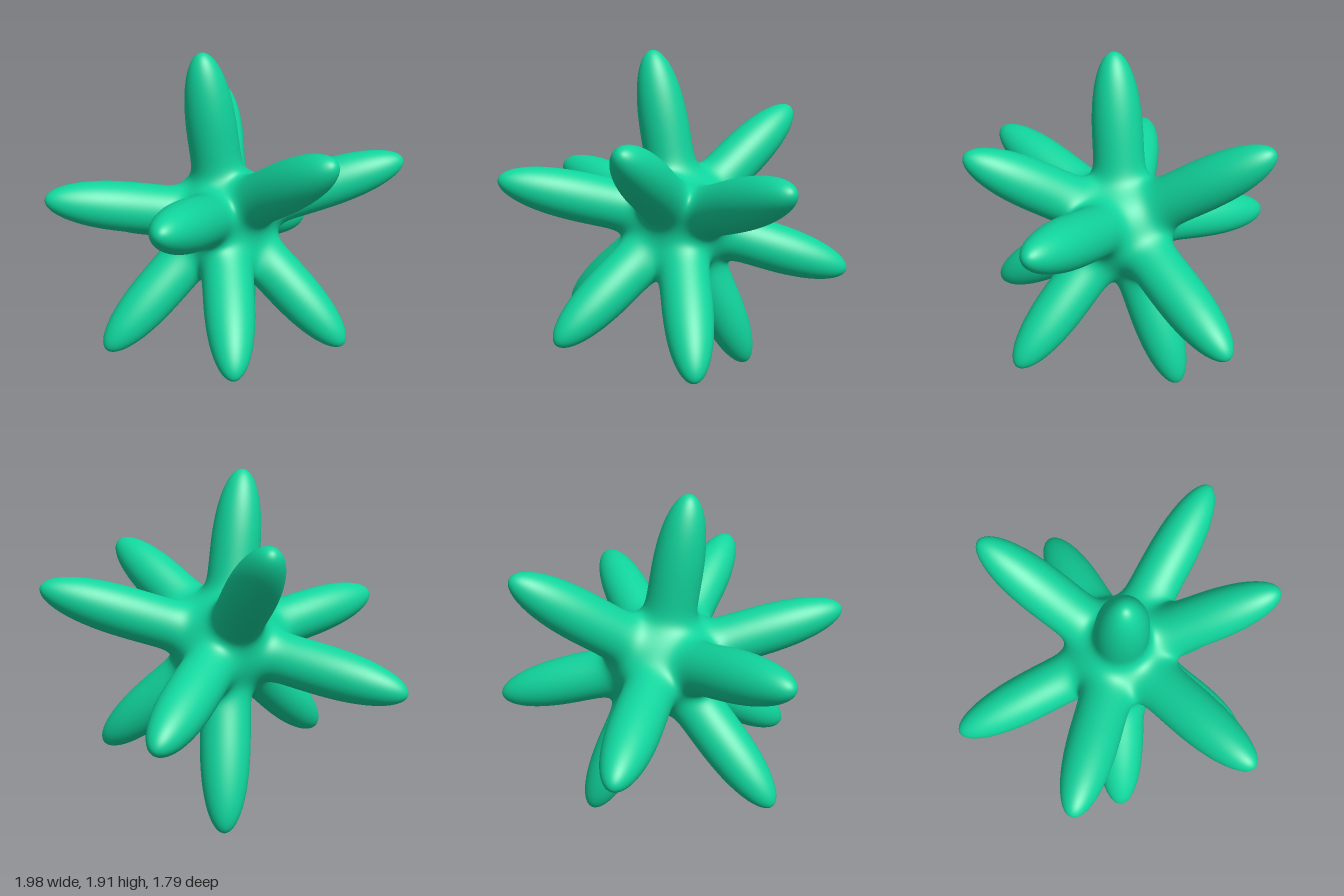
import * as THREE from 'three';

const CENTRE = new THREE.Vector3(-0.02, 0.97, -0.07);
const BODY_RADIUS = 0.27, ARM_RADIUS = 0.14, BLEND = 0.04;
const RINGS = 34, SIDES = 72;

// Tip position of each arm
const TIPS = [
  [-0.14, 1.92, 0.04], [0.10, 0.01, -0.49],                        // top, bottom
  [0.99, 1.31, -0.02], [-0.99, 1.17, 0.18],                        // sides
  [-0.35, 1.25, 0.89], [0.49, 1.48, 0.61], [0.0, 0.38, 0.75],      // front
  [0.65, 0.30, 0.29], [-0.70, 0.30, 0.29],                         // lower front corners
  [-0.02, 1.56, -0.89], [0.53, 0.66, -0.88], [-0.84, 0.77, -0.68], // back
];

const arms = TIPS.map((t) => {
  const dir = new THREE.Vector3(...t).sub(CENTRE);
  const length = dir.length();
  return { dir: dir.normalize(), length };
});

// Smooth union of a round core and one long ellipsoid per arm (negative inside)
function field(p) {
  const r2 = p.lengthSq();
  let sum = Math.exp((BODY_RADIUS - Math.sqrt(r2)) / BLEND);
  for (const { dir, length } of arms) {
    const u = p.dot(dir), w2 = Math.max(0, r2 - u * u), half = length / 2;
    const g = Math.sqrt(Math.abs((u - half) / half) ** 2.3 + w2 / ARM_RADIUS ** 2);
    sum += Math.exp((1 - g) * ARM_RADIUS / BLEND);
  }
  return -BLEND * Math.log(sum);
}

// Where a ray from the centre leaves the surface
function surfacePoint(dir) {
  let lo = 0.1, hi = 1.25;
  const p = new THREE.Vector3();
  for (let i = 0; i < 24; i++) {
    const mid = (lo + hi) / 2;
    if (field(p.copy(dir).multiplyScalar(mid)) < 0) lo = mid; else hi = mid;
  }
  return p.copy(dir).multiplyScalar((lo + hi) / 2);
}

function surfaceNormal(p) {
  const h = 0.002;
  const slope = (x, y, z) =>
    field(new THREE.Vector3(p.x + x, p.y + y, p.z + z)) - field(new THREE.Vector3(p.x - x, p.y - y, p.z - z));
  return new THREE.Vector3(slope(h, 0, 0), slope(0, h, 0), slope(0, 0, h)).normalize();
}

// One arm with its share of the core, in rings from the tip down to the valleys
function armGeometry(arm) {
  const a = arm.dir;
  const ex = new THREE.Vector3(0, 1, 0);
  if (Math.abs(a.y) > 0.8) ex.set(1, 0, 0);
  ex.addScaledVector(a, -ex.dot(a)).normalize();
  const ey = new THREE.Vector3().crossVectors(a, ex);
  const positions = [], normals = [], index = [];

  // Angle to the valley shared with the nearest neighbour, for each side
  const sides = [];
  for (let j = 0; j <= SIDES; j++) {
    const phi = (j % SIDES) / SIDES * Math.PI * 2;
    const e = ex.clone().multiplyScalar(Math.cos(phi)).addScaledVector(ey, Math.sin(phi));
    let limit = 1.2;
    for (const other of arms) {
      const side = e.dot(other.dir);
      if (other !== arm && side > 0.01) limit = Math.min(limit, Math.atan2(1 - a.dot(other.dir), side));
    }
    sides.push({ e, limit: limit * 1.04 });
  }

  for (let i = 0; i <= RINGS; i++) {
    for (let j = 0; j <= SIDES; j++) {
      const { e, limit } = sides[j];
      const theta = limit * (i / RINGS) ** 1.5;
      const dir = a.clone().multiplyScalar(Math.cos(theta)).addScaledVector(e, Math.sin(theta));
      const p = surfacePoint(dir);
      normals.push(...surfaceNormal(p).toArray());
      positions.push(...p.toArray());
      if (i < RINGS && j < SIDES) {
        const k = i * (SIDES + 1) + j, n = k + SIDES + 1;
        if (i > 0) index.push(k, n + 1, k + 1);
        index.push(k, n, n + 1);
      }
    }
  }
  const geometry = new THREE.BufferGeometry();
  geometry.setAttribute('position', new THREE.Float32BufferAttribute(positions, 3));
  geometry.setAttribute('normal', new THREE.Float32BufferAttribute(normals, 3));
  geometry.setIndex(index);
  return geometry;
}

export function createModel() {
  const model = new THREE.Group();
  model.name = 'spikyBlob';
  const material = new THREE.MeshStandardMaterial({ color: 0x11d59d });
  arms.forEach((arm, i) => {
    const mesh = new THREE.Mesh(armGeometry(arm), material);
    mesh.name = `arm${i + 1}`;
    mesh.position.copy(CENTRE);
    model.add(mesh);
  });
  return model;
}
